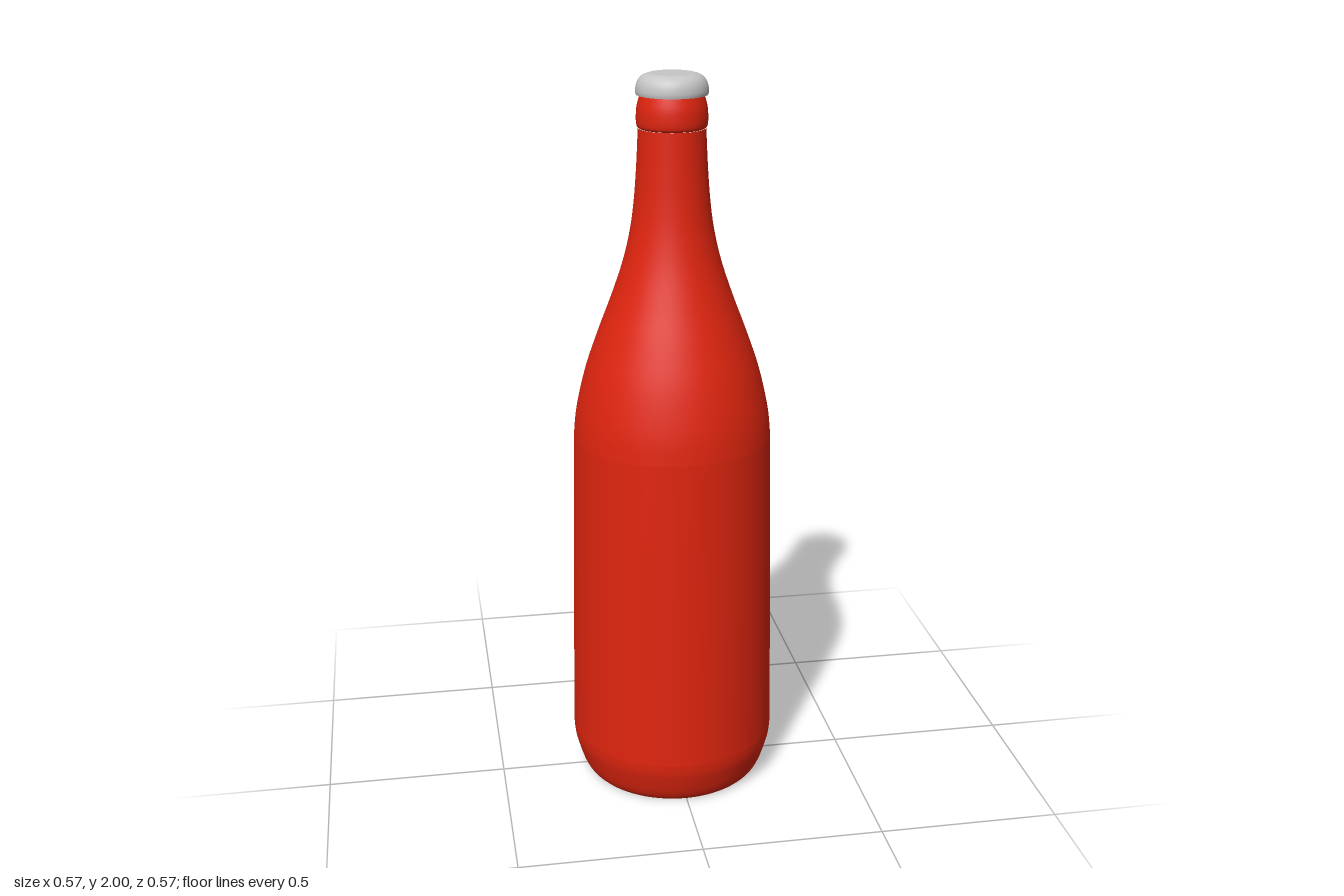
import * as THREE from 'three';

const SEGMENTS = 96;

export function createModel() {
  const red = new THREE.MeshStandardMaterial({ color: 0xe0250f });
  red.name = 'bottle red';
  const silver = new THREE.MeshStandardMaterial({ color: 0xc6c6c6 });
  silver.name = 'cap silver';

  const model = new THREE.Group();
  model.name = 'bottle';

  // Turns a profile of [radius, height] pairs, listed from bottom to top
  const turn = (name, profile, material, steps = 0) => {
    let points = profile.map(([r, y]) => new THREE.Vector2(r, y));
    if (steps) points = new THREE.SplineCurve(points).getPoints(steps);
    const mesh = new THREE.Mesh(new THREE.LatheGeometry(points, SEGMENTS), material);
    mesh.name = name;
    model.add(mesh);
  };

  // Flat underside and rounded foot
  turn('base', [[0, 0], [0.243, 0]], red);
  turn('foot', [[0.243, 0], [0.254, 0.012], [0.265, 0.035], [0.276, 0.07],
    [0.284, 0.1], [0.287, 0.13]], red, 16);

  // Slightly tapering body
  turn('body', [[0.287, 0.13], [0.283, 0.4], [0.278, 0.7], [0.271, 1.02]], red);

  // Shoulder sweeping into the neck
  turn('shoulderAndNeck', [[0.271, 1.02], [0.262, 1.1], [0.236, 1.21], [0.2, 1.315],
    [0.164, 1.41], [0.132, 1.505], [0.112, 1.59], [0.101, 1.67], [0.094, 1.76],
    [0.089, 1.86]], red, 48);

  // Lip below the cap
  turn('lip', [[0.086, 1.86], [0.092, 1.866], [0.094, 1.885], [0.092, 1.915],
    [0.084, 1.945], [0.08, 1.955]], red, 20);

  // Cap: underside, domed skirt and flat top
  turn('capUnderside', [[0.07, 1.946], [0.094, 1.946]], silver);
  turn('capSkirt', [[0.094, 1.946], [0.0955, 1.956], [0.093, 1.972], [0.086, 1.986],
    [0.075, 1.995], [0.06, 2]], silver, 20);
  turn('capTop', [[0.06, 2], [0, 2]], silver);

  return model;
}
